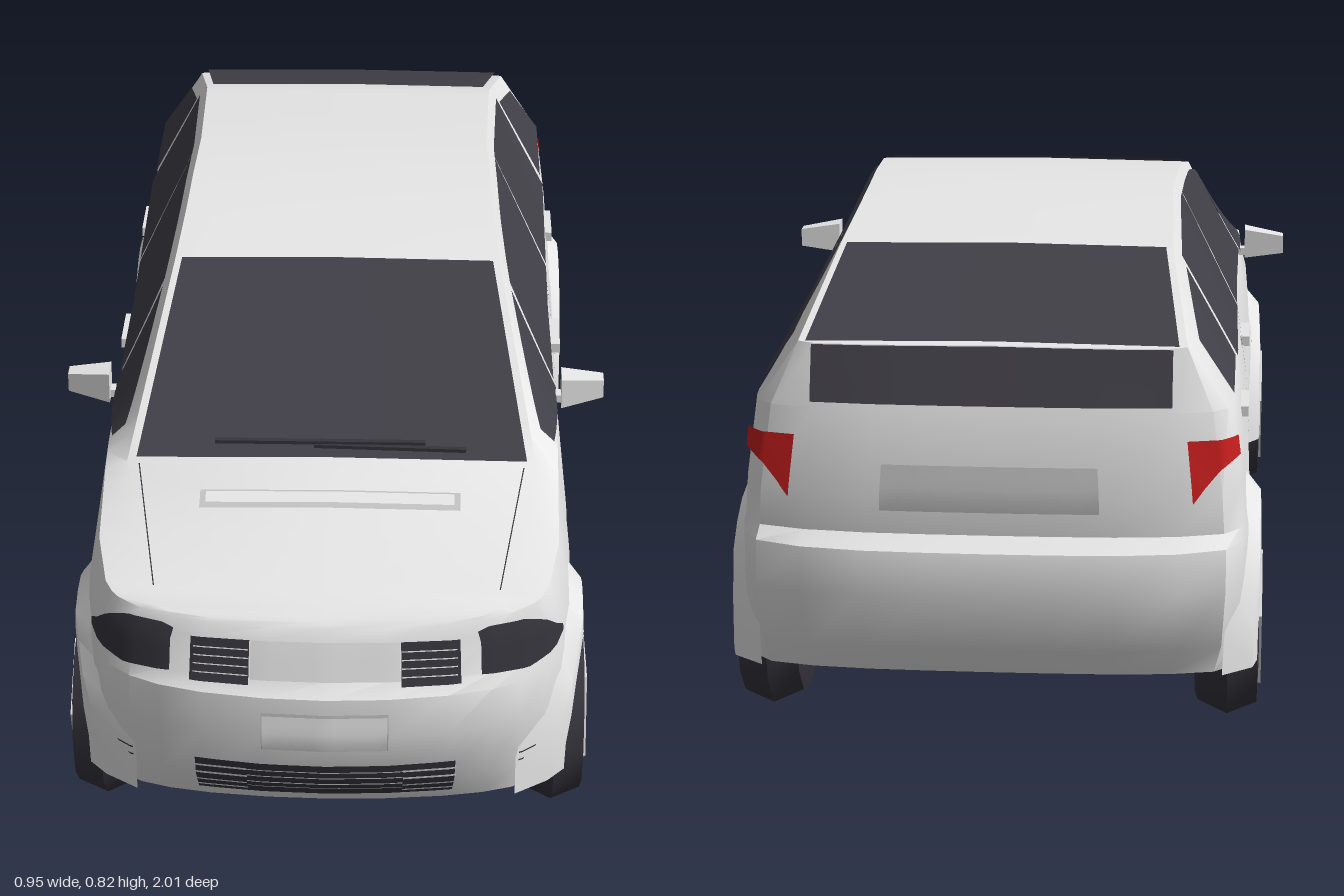
import * as THREE from 'three';
import { toCreasedNormals } from 'three/addons/utils/BufferGeometryUtils.js';

const mat = (name, color) => {
  const m = new THREE.MeshStandardMaterial({ color, side: THREE.DoubleSide });
  m.name = name;
  return m;
};

// Linear lookup in a table of [key, value], keys descending
function tab(t, k) {
  if (k >= t[0][0]) return t[0][1];
  for (let i = 1; i < t.length; i++) {
    const [a, va] = t[i - 1], [b, vb] = t[i];
    if (k >= b) return vb + (va - vb) * (k - b) / (a - b);
  }
  return t[t.length - 1][1];
}

// Body curves along z: centre line, roof edge width, shoulder height, underside height
const TOP = [[0.93, 0.477], [0.88, 0.5], [0.74, 0.54], [0.58, 0.585], [0.2, 0.785], [0.05, 0.813], [-0.1, 0.822], [-0.25, 0.822], [-0.58, 0.787], [-0.89, 0.69]];
const EDGE = [[0.93, 0.28], [0.74, 0.315], [0.58, 0.35], [0.2, 0.29], [0.05, 0.28], [-0.25, 0.272], [-0.58, 0.282], [-0.89, 0.315]];
const SHOULDER = [[0.985, 0.47], [0.8, 0.51], [0.58, 0.565], [0.4, 0.58], [-0.4, 0.585], [-0.9, 0.59]];
const BOTTOM = [[0.95, 0.14], [0.6, 0.14], [0.45, 0.113], [-0.45, 0.113], [-0.8, 0.15]];
const WIDTH = [[0.92, 0.32], [0.885, 0.36], [0.866, 0.372], [0.84, 0.385], [0.74, 0.405], [0.5, 0.41], [0, 0.405], [-0.5, 0.41], [-0.83, 0.41], [-0.89, 0.4], [-0.935, 0.375]];
const NOSE = [[0.385, 0.84], [0.372, 0.866], [0.36, 0.885], [0.32, 0.92], [0.27, 0.945], [0.2, 0.965], [0.1, 0.98], [0, 0.985]];
const TAIL = [[0.41, -0.83], [0.4, -0.89], [0.375, -0.935], [0.3, -0.965], [0.2, -0.98], [0.1, -0.984], [0, -0.985]];
// Rows upward: height, width factor, nose and tail bulge
const ROW_Y = [0, 0.2, 0.3, 0.37, 0.39, 0.455];
const ROW_X = [0.97, 1, 1.015, 1.015, 1.005, 0.995, 0.95];
const NOSE_K = [0.64, 0.96, 1.12, 1.04, 0.84, 0.68, 0.58, 0.54];
const TAIL_K = [0.56, 0.8, 1.12, 1, 0.72, 0.76, 0.56, 0.24];
const AXLES = [0.68, -0.67], WHEEL_Y = 0.165, ARCH = 0.185, CROWN = 0.004;

function arch(z) {
  for (const a of AXLES) if (Math.abs(z - a) < ARCH) return WHEEL_Y + Math.sqrt(ARCH ** 2 - (z - a) ** 2);
  return 0;
}

// Point of the body shell for a plan position and a row
function shell(px, pz, r) {
  const k = Math.min(r, 7);
  let z = pz;
  if (pz > 0.86) z = 0.86 + (pz - 0.86) * NOSE_K[k];
  if (pz < -0.86) z = -0.86 + (pz + 0.86) * TAIL_K[k];
  if (r === 8) return [0, tab(TOP, z), z];
  if (r === 7) {
    const e = tab(EDGE, z), x = Math.min(px * 0.95, e);
    return [x, tab(TOP, z) - CROWN * x / e, z];
  }
  const y = r === 6 ? tab(SHOULDER, pz) : r === 0 ? tab(BOTTOM, pz) : ROW_Y[r];
  return [px * ROW_X[r], Math.max(y, arch(pz)), z];
}

// Point of the shell at a given height
function shellAt(px, pz, y) {
  for (let r = 0; r < 7; r++) {
    const a = shell(px, pz, r), b = shell(px, pz, r + 1);
    if (y <= b[1] || r === 6) {
      const t = Math.min(1, Math.max(0, (y - a[1]) / (b[1] - a[1] || 1)));
      return a.map((v, i) => v + (b[i] - v) * t);
    }
  }
}

// Surface from fn(i, j) whose front lies along u cross v
function grid(fn, nu, nv) {
  const pos = [], idx = [];
  for (let i = 0; i <= nu; i++) for (let j = 0; j <= nv; j++) pos.push(...fn(i, j));
  for (let i = 0; i < nu; i++) for (let j = 0; j < nv; j++) {
    const a = i * (nv + 1) + j, b = a + nv + 1;
    idx.push(a, b, b + 1, a, b + 1, a + 1);
  }
  const g = new THREE.BufferGeometry();
  g.setAttribute('position', new THREE.Float32BufferAttribute(pos, 3));
  g.setIndex(idx);
  return toCreasedNormals(g, 0.6);
}

export function createModel() {
  const car = new THREE.Group();
  car.name = 'car';
  const paint = mat('body paint', 0xf0f0f0), glass = mat('dark glass', 0x413f47), rubber = mat('tyre rubber', 0x37353d);
  const red = mat('red lamp', 0xc81e1e), under = mat('underside black', 0x28282b), alloy = mat('wheel alloy', 0xdedede);
  const shade = mat('trim grey', 0xc4c4c4);

  const add = (name, geo, m, parent = car) => {
    const mesh = new THREE.Mesh(geo, m);
    mesh.name = name;
    parent.add(mesh);
    return mesh;
  };
  const box = (name, m, w, h, d, x, y, z) => {
    const b = add(name, new THREE.BoxGeometry(w, h, d), m);
    b.position.set(x, y, z);
    return b;
  };
  const mix = (a, b, t) => a + (b - a) * t;

  // Body shell: one loft running round the car, closed over the roof
  const sideZ = [0.84, 0.8, 0.74, 0.68, 0.62, 0.58, 0.53, 0.508, 0.494, 0.4, 0.3, 0.2, 0.05, -0.1, -0.25, -0.4, -0.484, -0.498, -0.53, -0.58, -0.62, -0.67, -0.72, -0.77, -0.81, -0.843, -0.857];
  const half = [...NOSE.slice(1).reverse(), ...sideZ.map(z => [tab(WIDTH, z), z]), ...TAIL.slice(1)];
  const columns = [...half.slice(1).reverse().map(([x, z]) => [x, z, -1]), ...half.map(([x, z]) => [x, z, 1])];
  add('bodyShell', grid((i, j) => {
    const [px, pz, s] = columns[i], [x, y, z] = shell(px, pz, j);
    return [x * s, y, z];
  }, columns.length - 1, 8), paint);

  // Thin plates lying on the shell: flanks (with leaning ends), ends and top
  const flank = (name, m, z0, z1, y0, yTop, lift = 0.007, lean0 = 0, lean1 = 0) => {
    for (const s of [1, -1]) add(name, grid((i, j) => {
      const z = mix(z0 - lean0 * j / 3, z1 - lean1 * j / 3, (s > 0 ? i : 8 - i) / 8);
      const p = shellAt(tab(WIDTH, z), z, mix(y0, yTop(z), j / 3));
      return [s * (p[0] + lift), p[1], p[2]];
    }, 8, 3), m);
  };
  const at = (f, x) => typeof f === 'function' ? f(x) : f;
  const end = (name, m, sign, x0, x1, y0, y1, lift = 0.006) => add(name, grid((i, j) => {
    const x = mix(x0, x1, (sign > 0 ? i : 12 - i) / 12), ax = Math.abs(x);
    const p = shellAt(ax, tab(sign > 0 ? NOSE : TAIL, ax), mix(at(y0, ax), at(y1, ax), j / 4));
    return [Math.sign(x) * (p[0] + lift * ax / 0.3), p[1], p[2] + sign * lift];
  }, 12, 4), m);
  const top = (name, m, z0, z1, left, right, lift = 0.006) => add(name, grid((i, j) => {
    const z = mix(z0, z1, j / 4), x = mix(left(z), right(z), i / 8);
    return [x, tab(TOP, z) - CROWN * Math.abs(x) / tab(EDGE, z) + lift, z];
  }, 8, 4), m);

  // Windows
  const wide = z => tab(EDGE, z) * 0.955;
  top('windscreen', glass, 0.578, 0.203, z => -wide(z), wide);
  top('rearWindow', glass, -0.585, -0.888, z => -wide(z), wide);
  end('lowerRearWindow', glass, -1, -0.3, 0.3, 0.6, 0.692);
  const header = z => tab(TOP, z) - 0.018;
  flank('quarterWindow', glass, 0.5, 0.3, 0.585, header, 0.007, 0, 0.06);
  flank('frontDoorWindow', glass, 0.285, -0.172, 0.592, header, 0.007, 0.06, 0.03);
  flank('rearDoorWindow', glass, -0.185, -0.55, 0.592, header, 0.007, 0.02, 0.02);
  flank('cargoWindow', glass, -0.575, -0.82, 0.6, z => header(z) - 0.012, 0.007, 0.01, -0.01);

  // Door gaps, side lamps and handles
  flank('doorGap', rubber, -0.134, -0.139, 0.2, () => 0.58, 0.003);
  flank('sideMarker', rubber, 0.42, 0.414, 0.33, () => 0.38, 0.003);
  for (const s of [1, -1]) for (const z of [-0.053, -0.538])
    box('doorHandle', paint, 0.03, 0.018, 0.105, s * 0.398, 0.505, z);

  // Bonnet vent, bonnet gaps and wipers
  top('bonnetVent', shade, 0.69, 0.65, () => -0.22, () => 0.22, 0.004);
  top('bonnetVentLip', paint, 0.682, 0.658, () => -0.21, () => 0.21, 0.008);
  for (const s of [1, -1]) {
    const line = z => s * tab([[0.86, 0.285], [0.58, 0.33]], z);
    top('bonnetGap', rubber, 0.86, 0.59, z => line(z) - 0.001, z => line(z) + 0.001, 0.004);
  }
  for (const [x, w, z, turn] of [[-0.02, 0.36, 0.553, 0], [0.1, 0.26, 0.562, -0.04]])
    box('wiper', rubber, w, 0.006, 0.01, x, tab(TOP, z) + 0.009, z).rotation.y = turn;

  // Nose: headlamps, grille, plate and lower intake
  const lampLow = x => tab([[0.385, 0.425], [0.37, 0.405], [0.33, 0.391], [0.25, 0.394]], x);
  const lampHigh = x => tab([[0.385, 0.435], [0.36, 0.465], [0.33, 0.475], [0.27, 0.472], [0.25, 0.465]], x);
  for (const s of [1, -1]) {
    const side = (name, m, a, b, ...rest) => end(name, m, 1, Math.min(s * a, s * b), Math.max(s * a, s * b), ...rest);
    side('headlamp', rubber, 0.25, 0.384, lampLow, lampHigh);
    side('grille', rubber, 0.122, 0.217, 0.385, 0.456);
    for (let i = 0; i < 4; i++) side('grilleSlat', paint, 0.122, 0.21, 0.399 + i * 0.014, 0.401 + i * 0.014, 0.009);
    for (let i = 0; i < 4; i++) side('foglampSlot', rubber, 0.315, 0.345, 0.182 + i * 0.016, 0.185 + i * 0.016, 0.005);
    for (let i = 0; i < 4; i++) side('intakeSlat', paint, 0.125, 0.21, 0.18 + i * 0.016, 0.184 + i * 0.016, 0.009);
  }
  end('grillePanel', paint, 1, -0.12, 0.12, 0.392, 0.456);
  end('frontPlate', shade, 1, -0.102, 0.102, 0.275, 0.345, 0.003);
  end('frontPlateFace', paint, 1, -0.099, 0.099, 0.278, 0.342, 0.007);
  end('lowerIntake', rubber, 1, -0.21, 0.21, 0.168, 0.243);
  for (let i = 0; i < 4; i++) end('intakeSlat', paint, 1, -0.125, 0.125, 0.19 + i * 0.013, 0.192 + i * 0.013, 0.009);

  // Tail: lamps and plate recess
  const tailLow = x => tab([[0.4, 0.515], [0.37, 0.5], [0.34, 0.47], [0.315, 0.44]], x);
  for (const s of [1, -1]) end('tailLamp', red, -1, s > 0 ? 0.32 : -0.402, s > 0 ? 0.402 : -0.32, tailLow, 0.547, 0.007);
  end('rearPlateRecess', shade, -1, -0.175, 0.175, 0.43, 0.505, 0.004);

  // Floor with wheel wells, and the well ceilings
  const slab = (name, pts, y0, y1) => {
    const shape = new THREE.Shape([...pts, ...pts.map(([x, z]) => [-x, z]).reverse()].map(([x, z]) => new THREE.Vector2(x, z)));
    const g = new THREE.ExtrudeGeometry(shape, { depth: y1 - y0, bevelEnabled: false });
    g.rotateX(Math.PI / 2).translate(0, y1, 0);
    add(name, g, under);
  };
  slab('floor', [[0.19, -0.915], [0.315, -0.88], [0.315, -0.48], [0.385, -0.47], [0.385, 0.48], [0.315, 0.49], [0.315, 0.865], [0.19, 0.915]], 0.145, 0.37);
  slab('wheelWellCeiling', [[0.3, -0.88], [0.385, -0.82], [0.385, 0.8], [0.3, 0.88]], 0.355, 0.38);

  // Wheel arch flares
  const flare = [[0.18, -0.03], [0.185, 0.028], [0.218, 0.026], [0.255, -0.004]];
  for (const s of [1, -1]) for (const a of AXLES) add('archFlare', grid((i, j) => {
    const ang = mix(-0.05, Math.PI + 0.05, (s > 0 ? 12 - i : i) / 12), [r, dx] = flare[j];
    const z = a - Math.cos(ang) * r;
    return [s * (tab(WIDTH, z) + dx), WHEEL_Y + Math.sin(ang) * r, z];
  }, 12, 3), paint);

  // Wheels: faceted tyre and shallow hub
  const lathe = (pts, n) => toCreasedNormals(new THREE.LatheGeometry(pts.map(([r, h]) => new THREE.Vector2(r, h)), n), 0.5);
  const tyre = lathe([[0, -0.05], [0.13, -0.055], [0.145, -0.05], [0.168, 0], [0.147, 0.05], [0.1, 0.052], [0.095, 0.02]], 12);
  const hub = lathe([[0.118, 0.035], [0.118, 0.056], [0.06, 0.046], [0.04, 0.038], [0, 0.044]], 5);
  for (const s of [1, -1]) for (const a of AXLES) {
    const wheel = new THREE.Group();
    wheel.name = 'wheel';
    add('tyre', tyre, rubber, wheel);
    add('hub', hub, alloy, wheel).rotation.y = 0.3;
    wheel.rotation.z = -s * Math.PI / 2;
    wheel.position.set(s * 0.385, WHEEL_Y + 0.002, a);
    car.add(wheel);
  }

  // Door mirrors: boxes tapering outwards, swept back, on short stalks
  for (const s of [1, -1]) {
    const g = new THREE.BoxGeometry(0.075, 0.056, 0.05), p = g.attributes.position;
    for (let i = 0; i < p.count; i++) if (p.getX(i) * s > 0) {
      p.setY(i, p.getY(i) * 0.6);
      p.setZ(i, p.getZ(i) * 0.6 - 0.012);
    }
    g.computeVertexNormals();
    add('doorMirror', g, paint).position.set(s * 0.438, 0.598, 0.328);
    box('mirrorStalk', paint, 0.04, 0.014, 0.025, s * 0.392, 0.58, 0.325);
  }
  return car;
}
